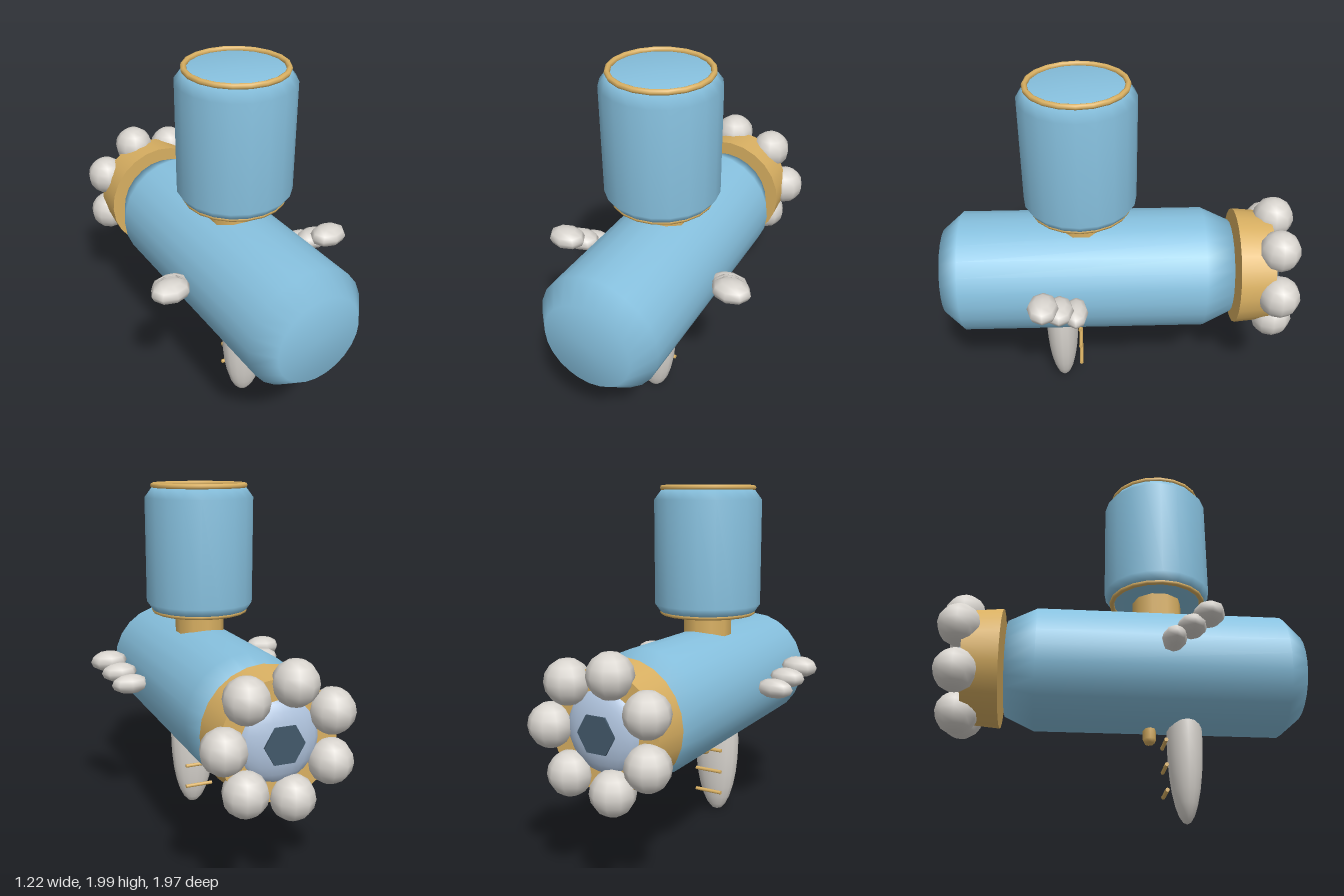
import * as THREE from 'three';

const mat = (name, color) => {
  const m = new THREE.MeshStandardMaterial({ color });
  m.name = name;
  return m;
};

export function createModel() {
  const blue = mat('skyBlue', 0x87c1df);
  const gold = mat('brass', 0xd9b062);
  const pale = mat('paleGrey', 0xd8d4ce);
  const steel = mat('steelBlue', 0xb0c4de);
  const dark = mat('darkSlate', 0x42586a);

  const root = new THREE.Group();
  root.name = 'model';
  const add = (name, geometry, material, x = 0, y = 0, z = 0) => {
    const mesh = new THREE.Mesh(geometry, material);
    mesh.name = name;
    mesh.position.set(x, y, z);
    root.add(mesh);
    return mesh;
  };
  // Profiles are [radius, height] pairs, listed from the bottom up
  const lathe = (pts, sides) =>
    new THREE.LatheGeometry(pts.map(([r, h]) => new THREE.Vector2(r, h)), sides);

  const AXIS = 0.845; // height of the body axis
  const HEAD_Z = 0.21;

  // Long horizontal body with chamfered ends
  const body = lathe([[0, -0.63], [0.265, -0.63], [0.34, -0.47], [0.34, 0.88], [0.245, 0.99], [0, 0.99]], 24);
  add('body', body.rotateX(Math.PI / 2), blue, 0, AXIS, 0);

  // Rear collar, a short cone behind the body
  const collar = new THREE.CylinderGeometry(0.33, 0.312, 0.195, 24);
  add('collar', collar.rotateX(Math.PI / 2), gold, 0, AXIS, -0.7525);

  // Ring of seven balls around the rear hub
  for (let i = 0; i < 7; i++) {
    const a = (i / 7) * Math.PI * 2;
    add('rearBall', new THREE.SphereGeometry(0.116, 10, 8), pale,
      Math.cos(a) * 0.295, AXIS + Math.sin(a) * 0.295, -0.873);
  }

  // Domed hub with a hexagonal centre
  add('rearHub', new THREE.SphereGeometry(0.22, 20, 12), steel, 0, AXIS, -0.82).scale.z = 0.4;
  const hex = new THREE.CylinderGeometry(0.107, 0.107, 0.009, 6);
  hex.rotateY(Math.PI / 6).rotateX(Math.PI / 2);
  add('hubCentre', hex, dark, 0, AXIS, -0.907);

  // Upright tank on a short neck
  add('neck', new THREE.CylinderGeometry(0.14, 0.14, 0.14, 10), gold, 0, 1.225, HEAD_Z);
  add('tank', lathe([[0, 1.285], [0.27, 1.285], [0.305, 1.335], [0.305, 1.92], [0.26, 1.98], [0, 1.98]], 20),
    blue, 0, 0, HEAD_Z);
  [[0.257, 1.985], [0.262, 1.287]].forEach(([r, y]) => {
    add('tankRim', new THREE.TorusGeometry(r, 0.015, 8, 20).rotateX(Math.PI / 2), gold, 0, y, HEAD_Z);
  });

  // Tapering grip under the body
  add('grip', new THREE.SphereGeometry(1, 16, 14), pale, 0, 0.457, 0.345).scale.set(0.14, 0.45, 0.096);
  for (const y of [0.165, 0.3, 0.435]) {
    add('gripBar', new THREE.CylinderGeometry(0.011, 0.011, 0.17, 8).rotateZ(Math.PI / 2), gold, 0, y, 0.235);
  }

  // Small rounded peg behind the grip
  add('peg', lathe([[0, 0.435], [0.026, 0.435], [0.036, 0.455], [0.036, 0.54]], 8), gold, 0, 0, 0.155).scale.x = 1.4;

  // Three overlapping lobes on each side
  const lobes = [
    [0.50, 0.97, 0.41, 0.108, 0.06, 0.083],
    [0.46, 0.918, 0.328, 0.105, 0.056, 0.077],
    [0.42, 0.866, 0.242, 0.11, 0.057, 0.065],
  ];
  for (const side of [1, -1]) {
    for (const [x, y, z, sx, sy, sz] of lobes) {
      add(side > 0 ? 'leftLobe' : 'rightLobe', new THREE.SphereGeometry(1, 8, 6), pale, side * x, y, z)
        .scale.set(sx, sy, sz);
    }
  }

  return root;
}
